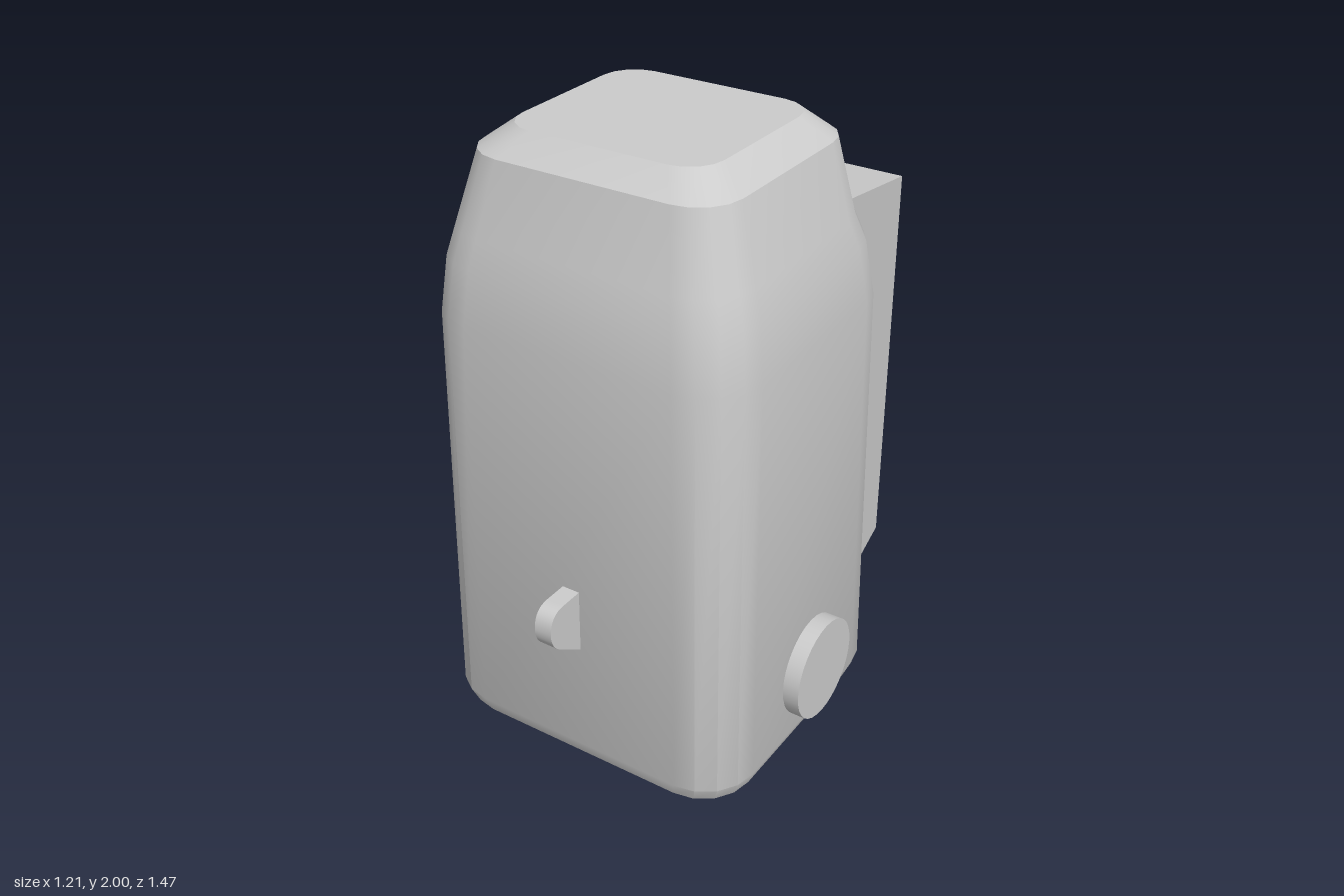
import * as THREE from 'three';
import { toCreasedNormals } from 'three/addons/utils/BufferGeometryUtils.js';

const mat = new THREE.MeshStandardMaterial({ color: 0xcccccc });

function add(group, name, geometry) {
  const mesh = new THREE.Mesh(geometry, mat);
  mesh.name = name;
  group.add(mesh);
  return mesh;
}

// Rounded rectangle outline at height y, as a closed ring of points
function ring([y, hx, front, back, r], steps = 4) {
  const points = [];
  const corners = [[hx - r, front - r], [r - hx, front - r], [r - hx, back + r], [hx - r, back + r]];
  corners.forEach(([cx, cz], q) => {
    for (let i = 0; i <= steps; i++) {
      const a = (q + i / steps) * Math.PI / 2;
      points.push(new THREE.Vector3(cx + r * Math.cos(a), y, cz + r * Math.sin(a)));
    }
  });
  return points;
}

// Skin a stack of rings and close both ends
function loft(sections) {
  const rings = sections.map((s) => ring(s));
  const n = rings[0].length;
  const pos = [];
  const tri = (...pts) => pts.forEach((p) => pos.push(p.x, p.y, p.z));
  for (let k = 0; k < rings.length - 1; k++) {
    for (let i = 0; i < n; i++) {
      const j = (i + 1) % n;
      const lo = rings[k], hi = rings[k + 1];
      tri(lo[i], hi[i], lo[j]);
      tri(lo[j], hi[i], hi[j]);
    }
  }
  const bottom = rings[0], top = rings[rings.length - 1];
  for (let i = 1; i < n - 1; i++) {
    tri(top[0], top[i + 1], top[i]);
    tri(bottom[0], bottom[i], bottom[i + 1]);
  }
  const geo = new THREE.BufferGeometry();
  geo.setAttribute('position', new THREE.Float32BufferAttribute(pos, 3));
  return toCreasedNormals(geo, 0.5);
}

export function createModel() {
  const model = new THREE.Group();
  model.name = 'canister';

  // Body sections: height, half width, front z, back z, corner radius
  add(model, 'body', loft([
    [0, 0.53, 0.575, -0.39, 0.17],
    [0.055, 0.553, 0.597, -0.413, 0.18],
    [1.43, 0.538, 0.583, -0.385, 0.18],
    [1.61, 0.518, 0.562, -0.35, 0.175],
    [1.7, 0.493, 0.539, -0.312, 0.165],
    [1.93, 0.428, 0.481, -0.287, 0.14],
    [2, 0.337, 0.4, -0.217, 0.11],
  ]));

  // Tapered backpack box, sunk into the body
  const pack = new THREE.BoxGeometry(1, 1, 1);
  const p = pack.attributes.position;
  for (let i = 0; i < p.count; i++) {
    const rear = p.getZ(i) < 0;
    const high = p.getY(i) > 0;
    const x = Math.sign(p.getX(i)) * (rear ? 0.377 : 0.43);
    const y = high ? (rear ? 1.62 : 1.723) : (rear ? 0.26 : 0.13);
    p.setXYZ(i, x, y, rear ? -0.735 : -0.2);
  }
  pack.computeVertexNormals();
  add(model, 'backpack', pack);

  // Round side discs
  for (const [side, name] of [[1, 'leftDisc'], [-1, 'rightDisc']]) {
    const disc = add(model, name, new THREE.CylinderGeometry(0.17, 0.17, 0.105, 32));
    disc.rotation.z = Math.PI / 2;
    disc.position.set(side * 0.5525, 0.26, 0.07);
  }

  // Front spout: side profile in (z, y), extruded across x
  const profile = new THREE.Shape();
  profile.moveTo(0.55, 0.41);
  profile.lineTo(0.6, 0.44);
  profile.lineTo(0.7, 0.507);
  profile.quadraticCurveTo(0.735, 0.535, 0.735, 0.58);
  profile.quadraticCurveTo(0.732, 0.65, 0.67, 0.65);
  profile.lineTo(0.55, 0.65);
  const spout = new THREE.ExtrudeGeometry(profile, { depth: 0.06, bevelEnabled: false, curveSegments: 8 });
  spout.translate(0, 0, -0.03);
  spout.rotateY(-Math.PI / 2);
  add(model, 'spout', toCreasedNormals(spout, 0.6));

  return model;
}
